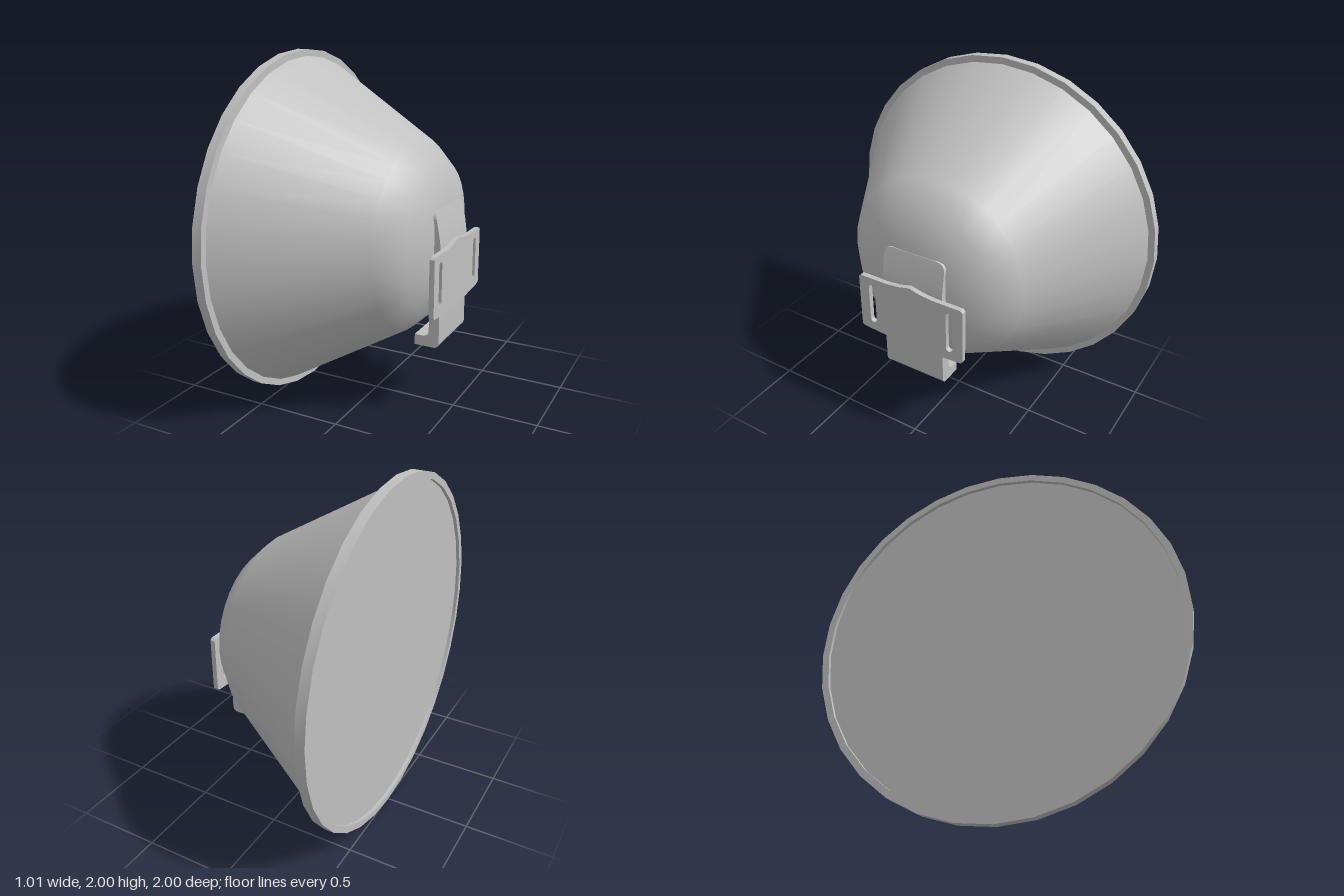
import * as THREE from 'three';
import { toCreasedNormals } from 'three/addons/utils/BufferGeometryUtils.js';

const grey = new THREE.MeshStandardMaterial({ color: 0xc0c0c0 });
grey.name = 'light grey';

function addMesh(group, name, geometry) {
  const mesh = new THREE.Mesh(geometry, grey);
  mesh.name = name;
  group.add(mesh);
  return mesh;
}

// Revolve [radius, x] points round the x axis at y = 1
function revolve(points) {
  const g = new THREE.LatheGeometry(points.map(([r, x]) => new THREE.Vector2(r, x)), 32);
  return g.rotateZ(-Math.PI / 2).translate(0, 1, 0);
}

// Vertical slot with rounded ends
function slot(u, bottom, top, r) {
  const p = new THREE.Path();
  p.moveTo(u + r, bottom + r);
  p.lineTo(u + r, top - r);
  p.absarc(u, top - r, r, 0, Math.PI, false);
  p.lineTo(u - r, bottom + r);
  p.absarc(u, bottom + r, r, Math.PI, Math.PI * 2, false);
  return p;
}

export function createModel() {
  const model = new THREE.Group();
  model.name = 'cupWithClip';

  // Cone with a domed end
  addMesh(model, 'shell', revolve([
    [0.965, -0.455], [0.545, 0.25], [0.425, 0.375], [0.23, 0.438], [0, 0.45],
  ]));

  // Rim ring and the recessed flat back
  addMesh(model, 'rim', toCreasedNormals(revolve([
    [0.962, -0.485], [0.962, -0.505], [1, -0.505], [1, -0.45], [0.955, -0.45],
  ]), 0.6));
  const disc = new THREE.CircleGeometry(0.963, 32);
  addMesh(model, 'backDisc', disc.rotateY(-Math.PI / 2).translate(-0.485, 1, 0));

  // Lower strap with its inward foot
  const half = 0.19;
  const s = new THREE.Shape();
  s.moveTo(0.335, 0.43);
  s.lineTo(0.448, 0.43);
  s.absarc(0.448, 0.46, 0.03, -Math.PI / 2, 0, false);
  s.lineTo(0.478, 0.98);
  s.lineTo(0.418, 0.98);
  s.lineTo(0.418, 0.52);
  s.absarc(0.388, 0.52, 0.03, 0, -Math.PI / 2, true);
  s.lineTo(0.335, 0.49);
  s.closePath();
  const strap = new THREE.ExtrudeGeometry(s, { depth: half * 2, bevelEnabled: false, curveSegments: 6 });
  addMesh(model, 'strap', toCreasedNormals(strap.translate(0, 0, -half), 0.6));

  // Upper strap: leans in towards the dome, top corners rounded
  const low = 0.98, high = 1.197, r = 0.045;
  const tip = new THREE.BoxGeometry(1, 1, 1, 1, 24, 1);
  const pos = tip.attributes.position;
  for (let i = 0; i < pos.count; i++) {
    const t = pos.getY(i) + 0.5;
    const y = low + t * (high - low);
    const over = Math.max(0, y - (high - r));
    const w = half - r + Math.sqrt(Math.max(0, r * r - over * over));
    const outer = 0.478 - 0.036 * Math.pow(t, 1.4);
    pos.setXYZ(i, pos.getX(i) > 0 ? outer : 0.418, y, Math.sign(pos.getZ(i)) * w);
  }
  addMesh(model, 'strapTip', toCreasedNormals(tip, 0.6));

  // Slotted plate with peaked top and bottom edges
  const right = [
    [0, 0.615], [0.07, 0.634], [0.15, 0.64], [0.32, 0.652], [0.333, 0.664],
    [0.333, 0.983], [0.321, 0.995], [0.15, 0.995], [0.07, 1.003], [0, 1.02],
  ];
  const left = right.slice(1, -1).reverse().map(([u, v]) => [-u, v]);
  const outline = new THREE.Shape([...right, ...left].map(([u, v]) => new THREE.Vector2(u, v)));
  for (const side of [-1, 1]) outline.holes.push(slot(side * 0.25, 0.7, 0.95, 0.02));
  const plate = new THREE.ExtrudeGeometry(outline, { depth: 0.029, bevelEnabled: false, curveSegments: 10 });
  plate.rotateY(Math.PI / 2).translate(0.476, 0, 0);
  addMesh(model, 'slottedPlate', toCreasedNormals(plate, 0.6));

  return model;
}
